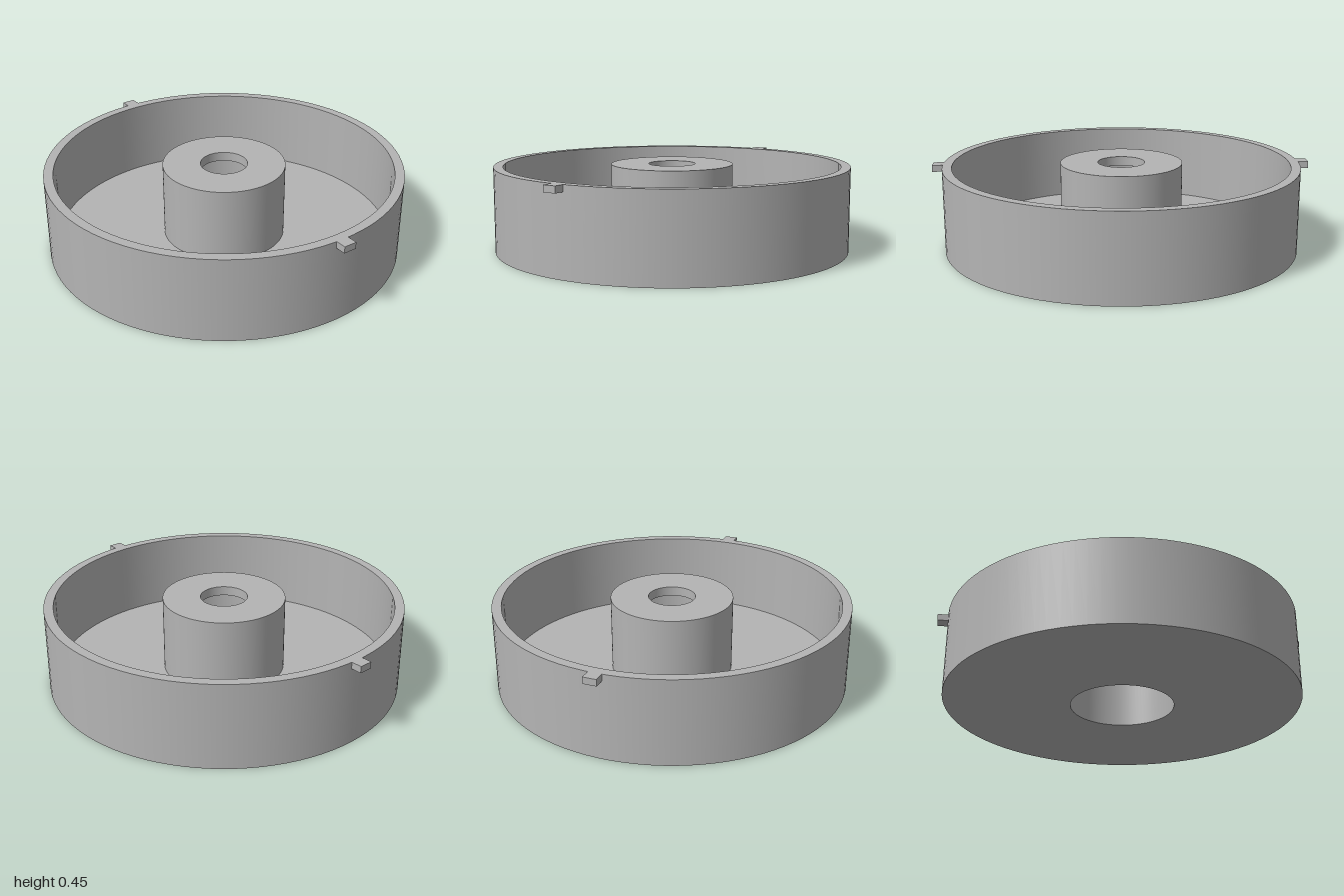
import * as THREE from 'three';

export function createModel() {
  const grey = new THREE.MeshStandardMaterial({ color: 0xb4b4b4 });
  grey.name = 'grey';
  const group = new THREE.Group();
  group.name = 'roundHousing';

  const R = 0.945, H = 0.45, T = 0.05; // outer radius, height, wall thickness

  // Revolved solid; doubled corner points keep the edges sharp
  function turned(name, profile) {
    const points = [];
    for (const [r, y] of profile) {
      points.push(new THREE.Vector2(r, y), new THREE.Vector2(r, y));
    }
    const mesh = new THREE.Mesh(new THREE.LatheGeometry(points, 96), grey);
    mesh.name = name;
    group.add(mesh);
  }

  // Dish with hollow central boss, as one closed section
  turned('dishAndBoss', [
    [0.275, 0], [R, 0], [R, H], [R - T, H], [R - T, T],
    [0.325, T], [0.325, H], [0.125, H], [0.125, H - T], [0.275, H - T], [0.275, 0],
  ]);

  // Locking tabs on both sides of the rim
  const tabHeight = 0.035, inner = R - 0.015;
  for (const side of [1, -1]) {
    const tab = new THREE.Mesh(new THREE.BoxGeometry(1 - inner, tabHeight, 0.07), grey);
    tab.name = side > 0 ? 'leftTab' : 'rightTab';
    tab.position.set(side * (1 + inner) / 2, H - tabHeight / 2, 0);
    group.add(tab);
  }
  return group;
}
